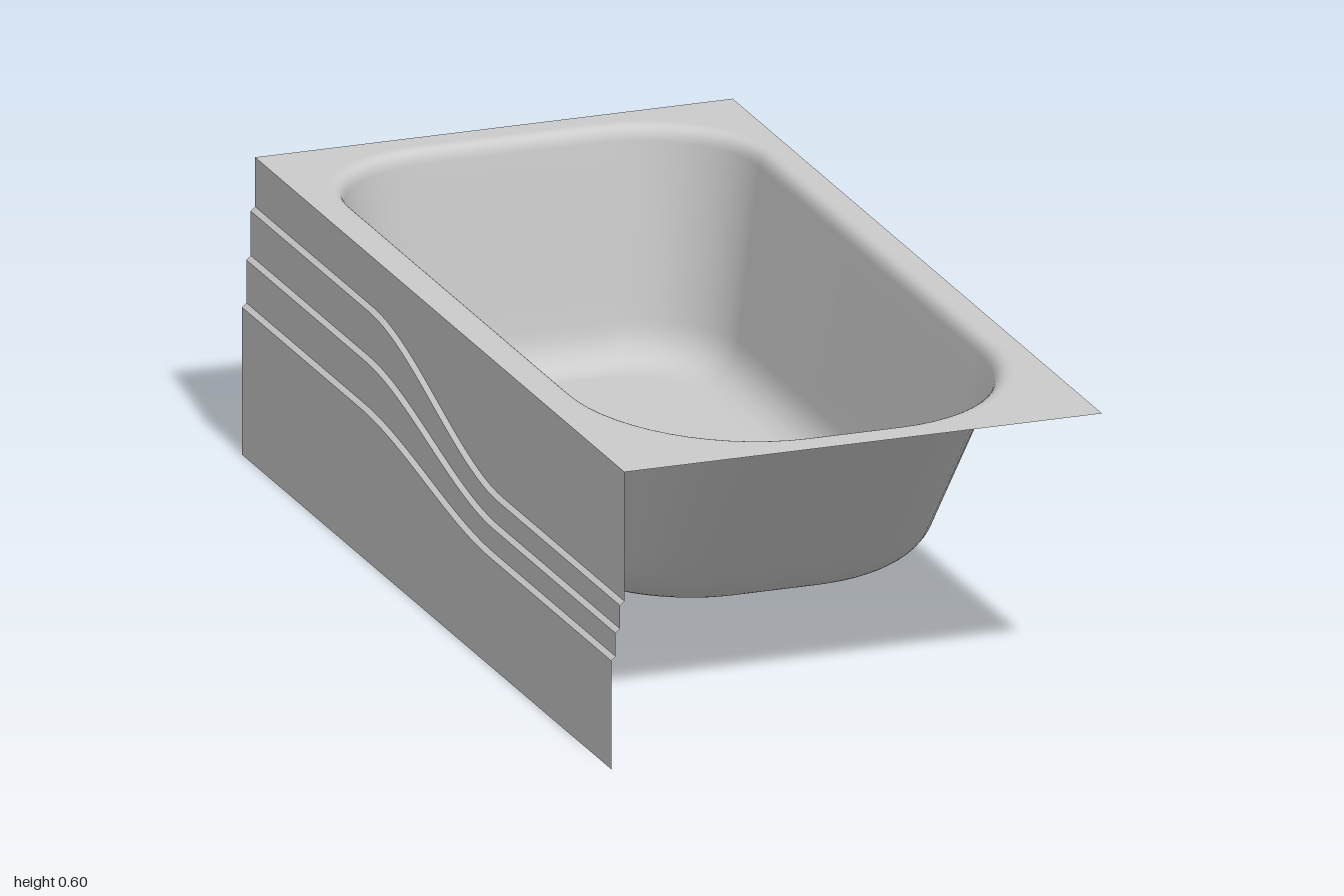
import * as THREE from 'three';
import { toCreasedNormals, mergeVertices } from 'three/addons/utils/BufferGeometryUtils.js';

const FLOOR = 0.137, RIM = 0.6, CX = 0.02;
const DRAIN = { x: -0.003, z: -0.665, r: 0.045 };
const mat = new THREE.MeshStandardMaterial({ color: 0xcccccc, side: THREE.DoubleSide });

// Section parameters: y, half width, back z, front z, back radius, front radius x, front radius z
const WALL_LOW = [0.2, 0.373, -0.885, 0.581, 0.2, 0.28, 0.27];
const WALL_HIGH = [0.57, 0.418, -0.925, 0.897, 0.24, 0.33, 0.4];
const FLOOR_EDGE = [FLOOR, 0.27, -0.81, 0.48, 0.12, 0.19, 0.19];
const LIP_EDGE = [RIM, 0.447, -0.952, 0.945, 0.26, 0.35, 0.42];

const wall = (y) => WALL_LOW.map((a, i) => a + (WALL_HIGH[i] - a) * (y - 0.2) / 0.37);
const bezier = (a, b, c, t) =>
  a.map((v, i) => v * (1 - t) ** 2 + 2 * b[i] * t * (1 - t) + c[i] * t * t);

// Rounded rectangle with elliptical corners, as [x, z] points
function outline([, hw, zb, zf, rb, rx, rz], n = 14) {
  const pts = [];
  const corner = (sx, sz, ax, az, start) => {
    const cx = sx * (hw - ax), cz = sz > 0 ? zf - az : zb + az;
    for (let i = 0; i <= n; i++) {
      const a = start + (i / n) * Math.PI / 2;
      pts.push(new THREE.Vector2(CX + cx + ax * Math.cos(a), cz + az * Math.sin(a)));
    }
  };
  corner(1, 1, rx, rz, 0);
  corner(-1, 1, rx, rz, Math.PI / 2);
  corner(-1, -1, rb, rb, Math.PI);
  corner(1, -1, rb, rb, Math.PI * 1.5);
  return pts;
}

// Surface from a grid of points; rows may be closed into loops
function grid(rows, closed) {
  const w = rows[0].length, pos = rows.flat(2), idx = [];
  for (let r = 0; r < rows.length - 1; r++) {
    for (let i = 0; i < (closed ? w : w - 1); i++) {
      const j = (i + 1) % w, a = r * w + i, b = r * w + j, c = a + w, d = b + w;
      idx.push(a, b, c, b, d, c);
    }
  }
  const g = new THREE.BufferGeometry();
  g.setAttribute('position', new THREE.Float32BufferAttribute(pos, 3));
  g.setIndex(idx);
  g.computeVertexNormals();
  return g;
}

// Flat horizontal face from [x, z] points, facing up
function flatFace(points, hole, y) {
  const flip = (p) => new THREE.Vector2(p.x, -p.y);
  const shape = new THREE.Shape(points.map(flip));
  shape.holes.push(new THREE.Path(hole.map(flip)));
  return new THREE.ShapeGeometry(shape).rotateX(-Math.PI / 2).translate(0, y, 0);
}

export function createModel() {
  const group = new THREE.Group();
  const add = (name, geometry) => {
    const mesh = new THREE.Mesh(geometry, mat);
    mesh.name = name;
    group.add(mesh);
    return mesh;
  };

  // Basin: floor fillet, sloping walls, rolled lip
  const sections = [];
  for (let i = 0; i <= 10; i++) sections.push(bezier(FLOOR_EDGE, wall(FLOOR), wall(0.22), i / 10));
  for (let i = 1; i < 8; i++) sections.push(wall(0.22 + 0.35 * i / 8));
  for (let i = 0; i <= 8; i++) sections.push(bezier(WALL_HIGH, wall(RIM), LIP_EDGE, i / 8));
  add('basinWalls', grid(sections.map((s) => outline(s).map((p) => [p.x, s[0], p.y])), true));

  // Floor with drain opening
  const drainHole = [];
  for (let i = 0; i < 32; i++) {
    const a = i / 32 * Math.PI * 2;
    drainHole.push(new THREE.Vector2(DRAIN.x + DRAIN.r * Math.cos(a), DRAIN.z + DRAIN.r * Math.sin(a)));
  }
  add('basinFloor', flatFace(outline(FLOOR_EDGE), drainHole, FLOOR));

  // Flat rim around the basin
  const corners = [[-0.478, -1], [0.503, -1], [0.503, 1], [-0.478, 1]];
  add('rim', flatFace(corners.map(([x, z]) => new THREE.Vector2(x, z)), outline(LIP_EDGE), RIM));

  // Shallow drain cup with a small flange
  const cup = [[0, 0.124], [0.044, 0.124], [0.051, 0.119], [0.052, 0.127], [DRAIN.r, 0.13], [DRAIN.r, FLOOR]];
  const lathe = new THREE.LatheGeometry(cup.map(([x, y]) => new THREE.Vector2(x, y)), 32);
  add('drain', toCreasedNormals(lathe, 0.5)).position.set(DRAIN.x, 0, DRAIN.z);

  // Side panel: three stepped ledges that sweep down from back to front
  const steps = [[0.5, 0.338], [0.402, 0.283], [0.307, 0.228]];
  const columns = [];
  const cols = 64;
  for (let i = 0; i <= cols; i++) {
    const z = -1 + 2 * i / cols;
    const s = THREE.MathUtils.smoothstep(z, -0.36, 0.34);
    const column = [[-0.478, RIM, z]];
    steps.forEach(([back, front], k) => {
      const y = back + (front - back) * s, x = -0.478 - 0.009 * k;
      column.push([x, y, z], [x - 0.009, y - 0.008, z]);
    });
    column.push([-0.505, 0, z]);
    columns.push(column);
  }
  add('sidePanel', toCreasedNormals(mergeVertices(grid(columns, false)), 0.4));

  return group;
}
